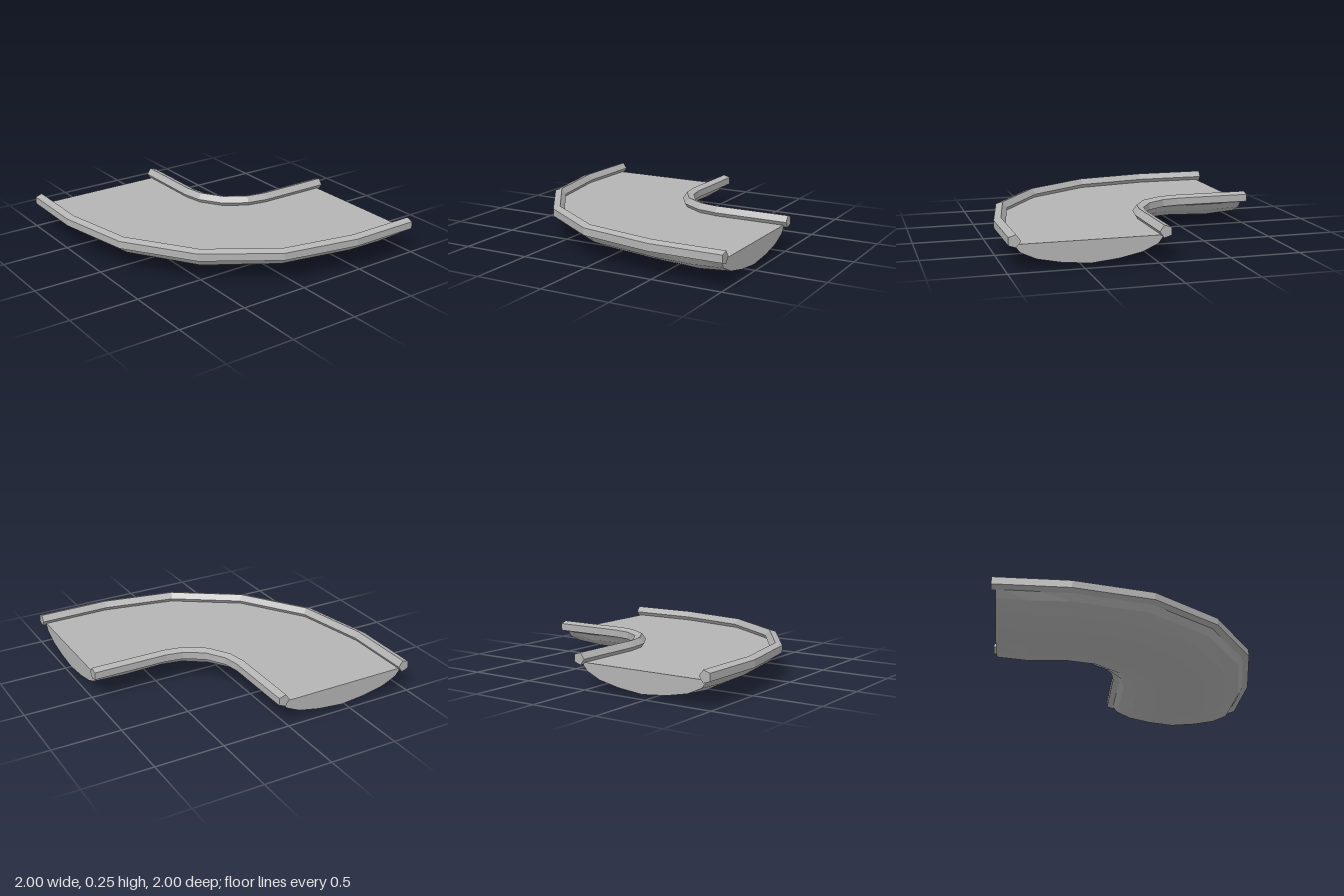
import * as THREE from 'three';

// Plan positions [x, z] of the inner and outer rail centres, up to the diagonal
const INNER = [[-1, -0.045], [-0.45, -0.045], [-0.315, -0.07], [-0.165, -0.165]];
const OUTER = [[-1, 0.955], [-0.475, 0.96], [0.07, 0.855], [0.54, 0.54]];

// Complete a half path by swapping x and z about the diagonal
const mirrored = (half) => [...half, ...half.slice(0, -1).reverse().map(([x, z]) => [z, x])];

// Closed loft through rings of Vector3, with flat end caps and flat shading
function loft(rings) {
  const n = rings[0].length;
  const pos = [];
  const tri = (...pts) => pts.forEach((p) => pos.push(p.x, p.y, p.z));
  for (let s = 0; s < rings.length - 1; s++) {
    for (let i = 0; i < n; i++) {
      const j = (i + 1) % n;
      tri(rings[s][i], rings[s + 1][i], rings[s][j]);
      tri(rings[s][j], rings[s + 1][i], rings[s + 1][j]);
    }
  }
  const first = rings[0], last = rings[rings.length - 1];
  for (let i = 1; i < n - 1; i++) {
    tri(first[0], first[i], first[i + 1]);
    tri(last[0], last[i + 1], last[i]);
  }
  const g = new THREE.BufferGeometry();
  g.setAttribute('position', new THREE.Float32BufferAttribute(pos, 3));
  g.computeVertexNormals();
  return g;
}

export function createModel() {
  const group = new THREE.Group();
  const grey = new THREE.MeshStandardMaterial({ color: 0xb4b4b4 });
  grey.name = 'plain grey';
  const add = (name, geometry) => {
    const mesh = new THREE.Mesh(geometry, grey);
    mesh.name = name;
    group.add(mesh);
  };

  const inner = mirrored(INNER), outer = mirrored(OUTER);

  // Five-sided rails, square to the line joining both paths
  const rail = (path, startAngle) => loft(path.map(([x, z], s) => {
    const d = new THREE.Vector2(outer[s][0] - inner[s][0], outer[s][1] - inner[s][1]).normalize();
    return Array.from({ length: 5 }, (_, k) => {
      const a = startAngle + (k * Math.PI * 2) / 5;
      const r = 0.045 * Math.cos(a);
      return new THREE.Vector3(x + d.x * r, 0.208 + 0.045 * Math.sin(a), z + d.y * r);
    });
  }));
  add('innerRail', rail(inner, 0));
  add('outerRail', rail(outer, Math.PI / 5));

  // Curved trough: flat top, rounded belly whose depth varies along the bend
  const top = 0.18;
  const belly = [[0, 0], [0.045, 0.36], [0.15, 0.67], [0.31, 0.88], [0.5, 1],
    [0.69, 0.88], [0.85, 0.67], [0.955, 0.36], [1, 0]];
  const bodyInner = mirrored([[-0.97, -0.045], [-0.75, -0.045], ...INNER.slice(1)]);
  const bodyOuter = mirrored([[-0.97, 0.955], [-0.75, 0.957], ...OUTER.slice(1)]);
  const depths = [0.155, 0.18, 0.162, 0.162, 0.175];
  add('troughBody', loft(bodyInner.map(([x, z], s) => {
    const depth = depths[Math.min(s, bodyInner.length - 1 - s)];
    const [ox, oz] = bodyOuter[s];
    return belly.map(([t, f]) => new THREE.Vector3(x + (ox - x) * t, top - depth * f, z + (oz - z) * t));
  })));

  return group;
}
